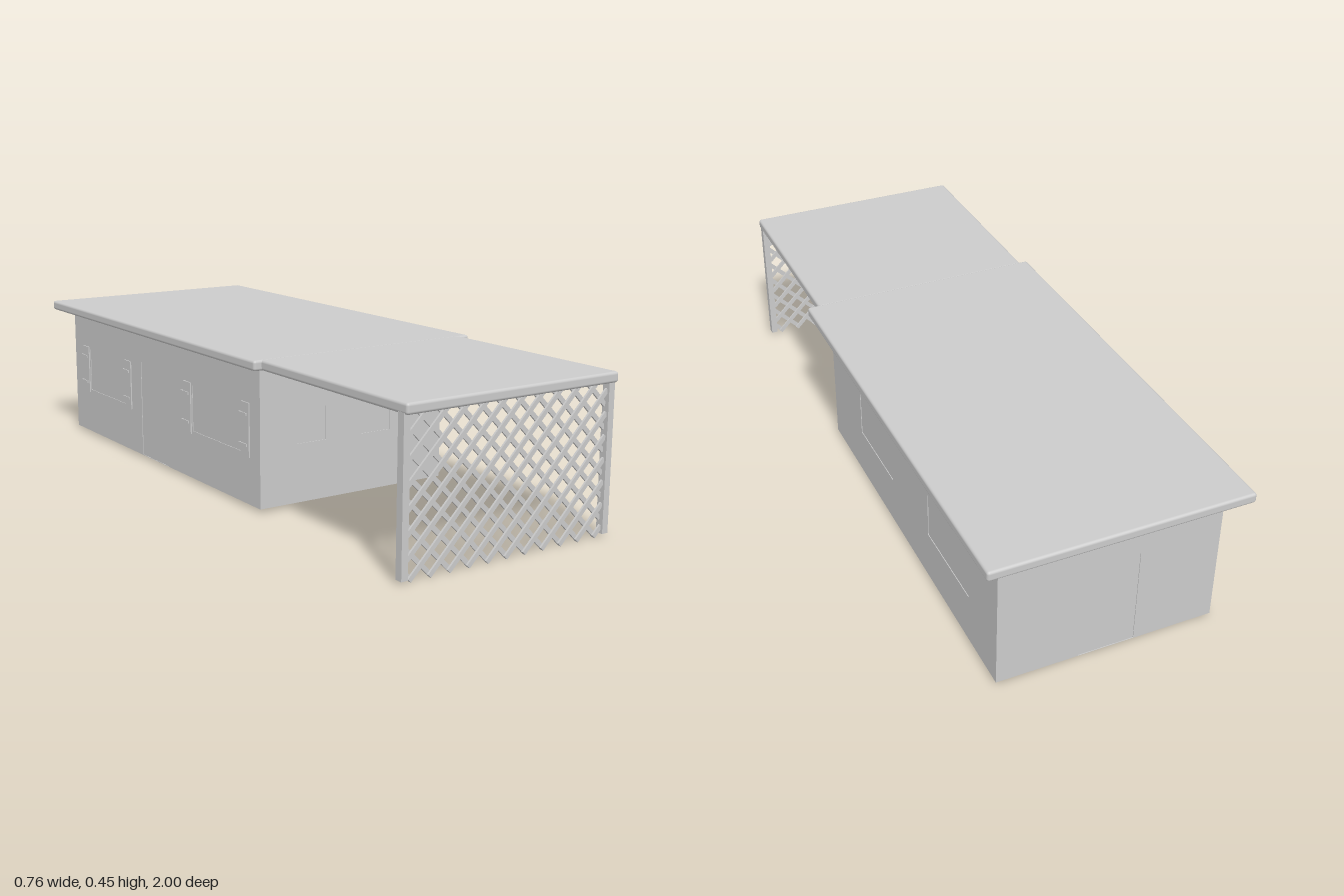
import * as THREE from 'three';
import { RoundedBoxGeometry } from 'three/addons/geometries/RoundedBoxGeometry.js';

const material = new THREE.MeshStandardMaterial({ color: 0xcccccc });
const BASE = 0.01, EAVE = 0.43, THICK = 0.008;

function add(parent, name, geometry, x = 0, y = 0, z = 0) {
  const mesh = new THREE.Mesh(geometry, material);
  mesh.name = name;
  mesh.position.set(x, y, z);
  parent.add(mesh);
  return mesh;
}

// Box given by its lower and upper corner
function block(parent, name, a, b) {
  const s = b.map((v, i) => v - a[i]);
  return add(parent, name, new THREE.BoxGeometry(...s), ...a.map((v, i) => v + s[i] / 2));
}

function roofSlab(parent, name, x0, x1, z0, z1) {
  const g = new RoundedBoxGeometry(x1 - x0, 0.03, z1 - z0, 3, 0.008);
  add(parent, name, g, (x0 + x1) / 2, 0.44, (z0 + z1) / 2);
}

// Upright wall facing local +z, with openings [u0, u1, v0, v1] closed by recessed panels
function wall(name, u0, u1, openings) {
  const group = new THREE.Group();
  group.name = name;
  const shape = new THREE.Shape();
  shape.moveTo(u0, BASE).lineTo(u1, BASE).lineTo(u1, EAVE).lineTo(u0, EAVE).closePath();
  for (const [a, b, c, d] of openings) {
    const hole = new THREE.Path();
    hole.moveTo(a, c).lineTo(a, d).lineTo(b, d).lineTo(b, c).closePath();
    shape.holes.push(hole);
    const label = c < 0.05 ? 'door' : 'windowPane';
    block(group, label, [a, c, -THICK + 0.002], [b, d, -0.002]);
  }
  const g = new THREE.ExtrudeGeometry(shape, { depth: THICK, bevelEnabled: false });
  add(group, name + 'Panel', g, 0, 0, -THICK);
  return group;
}

export function createModel() {
  const model = new THREE.Group();
  model.name = 'houseWithPorch';

  // Roofs
  roofSlab(model, 'mainRoof', -0.38, 0.38, -1, 0.355);
  roofSlab(model, 'porchRoof', -0.355, 0.345, 0.345, 1);

  // Walls, open underneath
  const front = wall('frontWall', -0.325, 0.324, [[-0.205, -0.1, 0.185, 0.285], [0.025, 0.13, 0.185, 0.285]]);
  front.position.z = 0.295;

  const back = wall('backWall', -0.324, 0.325, [[-0.084, 0.084, BASE + 0.001, 0.31]]);
  back.rotation.y = Math.PI;
  back.position.z = -0.94;

  // Local u runs along -z on the left wall and along +z on the right wall
  const left = wall('leftWall', -0.295, 0.94, [[-0.05, 0.215, 0.16, 0.302], [0.485, 0.765, 0.16, 0.302]]);
  left.rotation.y = Math.PI / 2;
  left.position.x = 0.324;

  const sideWindows = [[-0.82, -0.555], [-0.095, 0.19]];
  const right = wall('rightWall', -0.94, 0.295, [
    ...sideWindows.map(([a, b]) => [a, b, 0.16, 0.302]),
    [-0.435, -0.255, BASE + 0.001, 0.32],
  ]);
  right.rotation.y = -Math.PI / 2;
  right.position.x = -0.325;

  // Narrow shutters with hinges beside the right-hand windows
  for (const [a, b] of sideWindows) {
    for (const [edge, dir] of [[a, -1], [b, 1]]) {
      const u = edge + dir * 0.028;
      block(right, 'shutter', [u - 0.022, 0.15, 0], [u + 0.022, 0.31, 0.004]);
      for (const v of [0.185, 0.275]) {
        block(right, 'hinge', [u - 0.032, v - 0.004, 0], [u + 0.012, v + 0.004, 0.007]);
      }
    }
  }
  model.add(front, back, left, right);

  // Porch posts
  block(model, 'rightPost', [-0.355, BASE, 0.965], [-0.335, EAVE, 0.988]);
  block(model, 'leftPost', [0.323, BASE, 0.965], [0.343, EAVE, 0.988]);

  // Diagonal lattice: two layers of slats clipped to the bay between the posts
  const lattice = new THREE.Group();
  lattice.name = 'lattice';
  const pitch = 0.0623, xMin = -0.334, xMax = 0.324, yMin = 0.005, yMax = EAVE;
  for (const dir of [1, -1]) {
    for (let k = -8; k <= 18; k++) {
      const foot = -0.32 + k * pitch;
      // Slat follows x = foot + dir * (y - 0.01)
      const atMin = (xMin - foot) * dir + 0.01, atMax = (xMax - foot) * dir + 0.01;
      const y0 = Math.max(yMin, Math.min(atMin, atMax));
      const y1 = Math.min(yMax, Math.max(atMin, atMax));
      if (y1 - y0 < 0.006) continue;
      const y = (y0 + y1) / 2;
      const g = new THREE.BoxGeometry((y1 - y0) * Math.SQRT2, 0.013, 0.006);
      const slat = add(lattice, 'slat', g, foot + dir * (y - 0.01), y, 0.976 + dir * 0.003);
      slat.rotation.z = dir * Math.PI / 4;
    }
  }
  model.add(lattice);
  return model;
}
